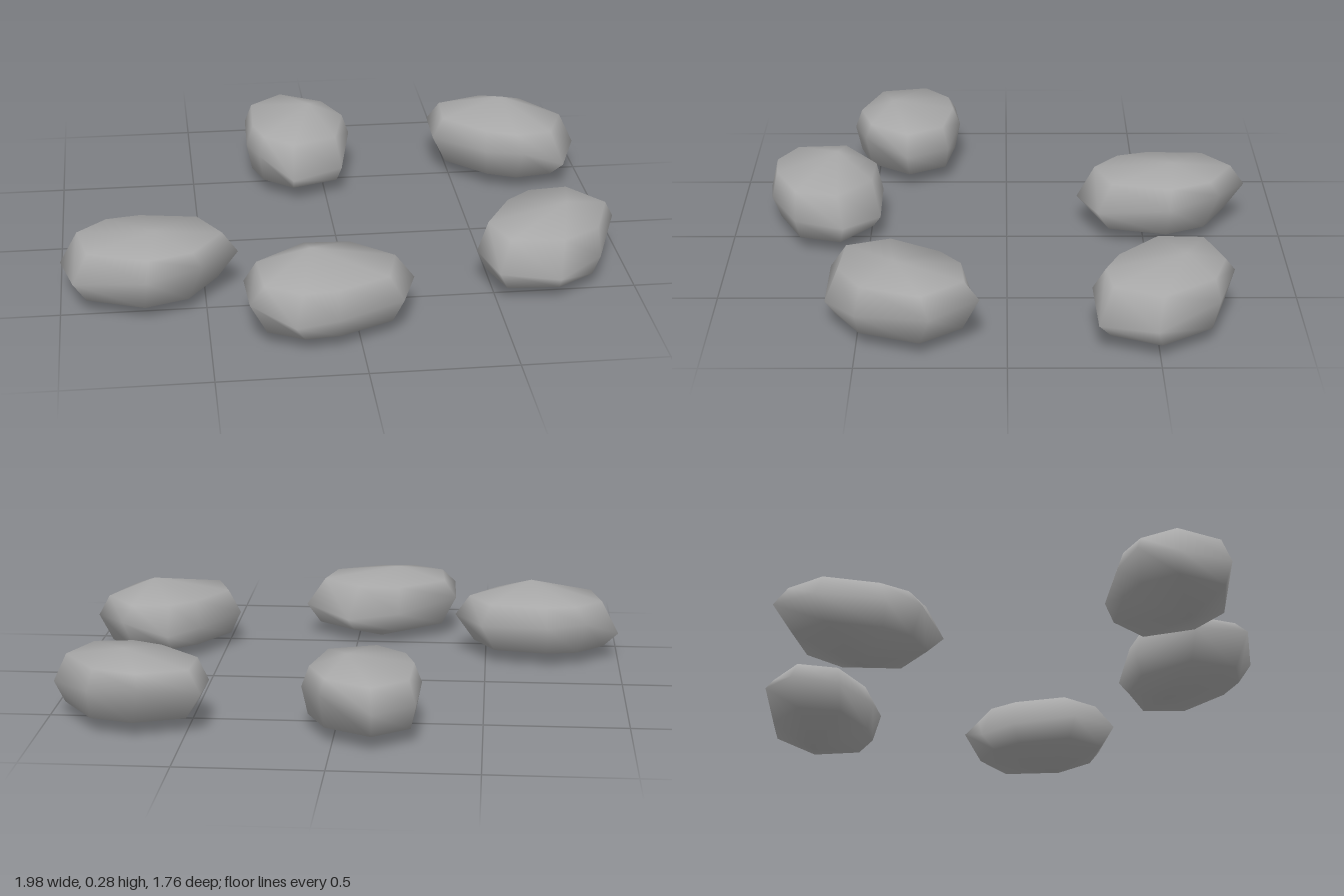
import * as THREE from 'three';

const MID = 0.1425; // half height of a stone

// Widest outline of a stone: [x, height above middle, z]
const GIRTH = [
  [-0.05, 0.013, -0.31], [0.13, 0.042, -0.2], [0.205, 0.015, -0.02], [0.15, -0.018, 0.24],
  [-0.04, -0.032, 0.31], [-0.16, 0.028, 0.2], [-0.2, 0.015, 0.06], [-0.19, 0.008, -0.19],
];

// Faceted pebble lofted from a peak, three rings and a base point
function stoneGeometry() {
  const n = GIRTH.length;
  const ring = (sx, sz, y, dz) => GIRTH.map(([x, , z]) => [x * sx, y, z * sz + dz]);
  const upper = ring(0.87, 0.81, 0.088, -0.006);
  const lower = ring(0.9, 0.79, -0.086, 0.008);
  const points = [...upper, ...GIRTH, ...lower, [0.05, 0.1375, -0.034], [0.05, -0.1375, 0.036]];
  const top = 3 * n, bottom = top + 1;
  const index = [];
  for (let i = 0; i < n; i++) {
    const j = (i + 1) % n;
    index.push(top, j, i);
    for (let r = 0; r < 2; r++) {
      const u = r * n, l = u + n;
      index.push(l + i, u + i, u + j, l + i, u + j, l + j);
    }
    index.push(bottom, 2 * n + i, 2 * n + j);
  }
  const geometry = new THREE.BufferGeometry();
  geometry.setAttribute('position', new THREE.Float32BufferAttribute(points.flat(), 3));
  geometry.setIndex(index);
  geometry.computeVertexNormals();
  return geometry;
}

export function createModel() {
  const group = new THREE.Group();
  group.name = 'scatteredStones';
  const stoneGrey = new THREE.MeshStandardMaterial({ color: 0xa8a8a8 });
  stoneGrey.name = 'stoneGrey';
  const geometry = stoneGeometry();

  // Each stone: name, x, z, turn in degrees, turned upside down
  const stones = [
    ['backStone', -0.09, -0.57, 0, false],
    ['rightStone', -0.696, 0.39, -97.3, false],
    ['backLeftStone', 0.707, -0.534, 48.4, false],
    ['frontStone', -0.1, 0.656, -67.7, true],
    ['leftStone', 0.713, 0.372, 146.7, true],
  ];
  for (const [name, x, z, turn, flipped] of stones) {
    const stone = new THREE.Mesh(geometry, stoneGrey);
    stone.name = name;
    stone.position.set(x, MID, z);
    stone.rotation.set(0, THREE.MathUtils.degToRad(turn), flipped ? Math.PI : 0);
    group.add(stone);
  }
  return group;
}
